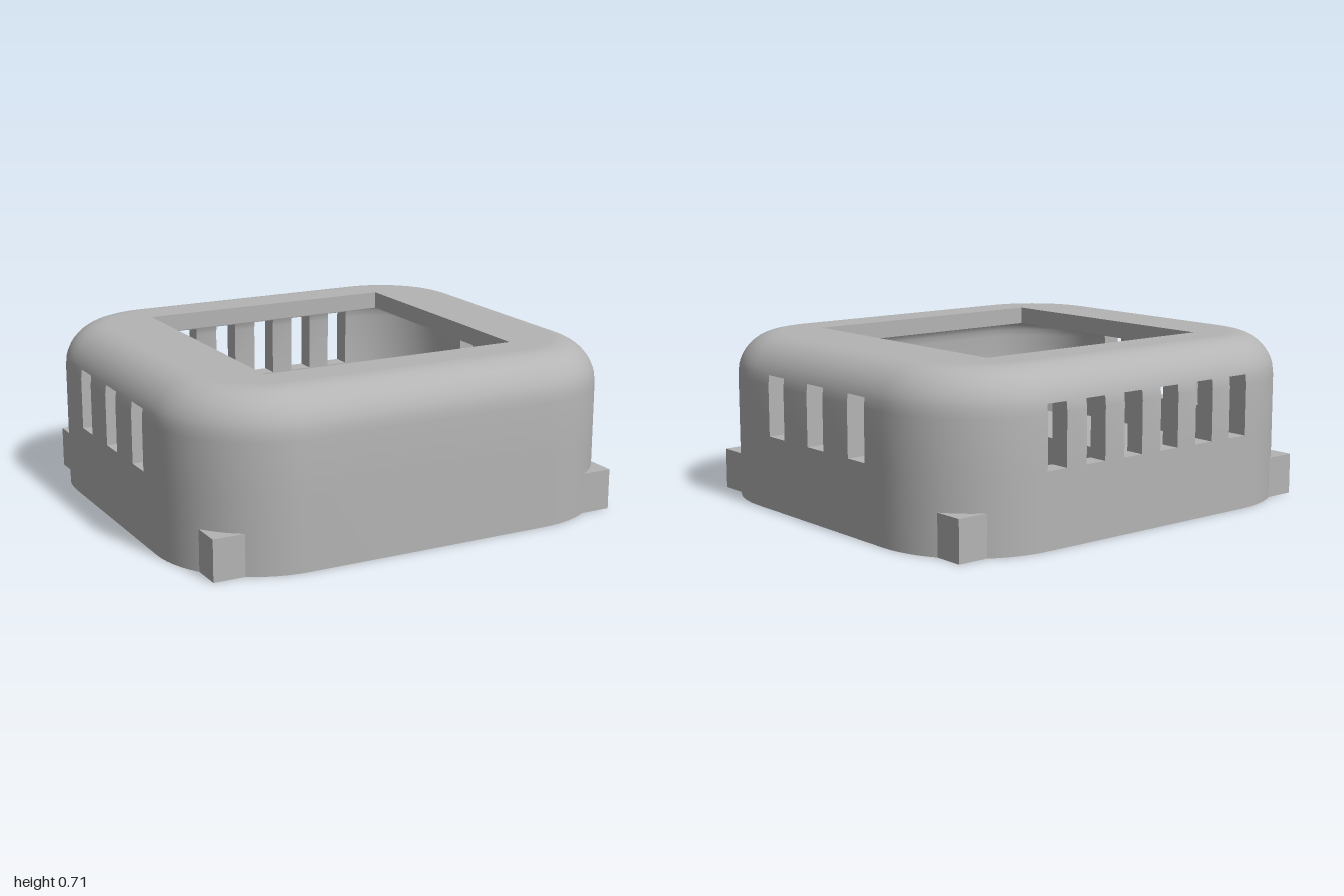
import * as THREE from 'three';
import { toCreasedNormals } from 'three/addons/utils/BufferGeometryUtils.js';

const R = 0.45, CORE_X = 0.55, CORE_Z = 0.46;   // rounded plan: core rectangle plus corner radius
const WALL = 0.085, FLOOR = 0.16, TOP = 0.715;
const SLOT_LOW = 0.315, SLOT_HIGH = 0.575;

// Vent slots on each side (+x, front, -x, back): centres and half width
const SLOTS = [
  { at: [-0.2875, 0, 0.2875], half: 0.0575 },
  { at: [], half: 0 },
  { at: [-0.2875, 0, 0.2875], half: 0.0575 },
  { at: [-0.5, -0.3, -0.1, 0.1, 0.3, 0.5], half: 0.049 },
];

// Columns round the plan: core point, outward normal, and whether a slot starts here
function planColumns(steps = 16) {
  const cols = [];
  for (let k = 0; k < 4; k++) {
    const a = k * Math.PI / 2, nx = Math.cos(a), nz = Math.sin(a);
    const out = k % 2 ? CORE_Z : CORE_X, half = k % 2 ? CORE_X : CORE_Z;
    const add = (u, slot, ang = a) => cols.push({
      x: nx * out - nz * u, z: nz * out + nx * u,
      nx: Math.cos(ang), nz: Math.sin(ang), slot,
    });
    add(-half, false);
    for (const c of SLOTS[k].at) {
      add(c - SLOTS[k].half, true);
      add(c + SLOTS[k].half, false);
    }
    for (let j = 0; j < steps; j++) add(half, false, a + j / steps * Math.PI / 2);
  }
  return cols;
}

// Upright wall profile ending in a quarter-round, with levels at the slot's sill and head
function wallProfile(inset, y0, r, steps = 10) {
  const start = Math.asin((SLOT_HIGH - y0) / r);
  const pts = [[inset, 0], [inset, SLOT_LOW], [inset, y0]];
  for (let j = 0; j <= steps; j++) {
    const a = start + (Math.PI / 2 - start) * j / steps;
    pts.push([inset + r * (1 - Math.cos(a)), y0 + r * Math.sin(a)]);
  }
  return pts;
}

// Hollow wall with rounded shoulder and cut-through slots
function shellGeometry(cols) {
  const outer = wallProfile(0, 0.535, 0.18), inner = wallProfile(WALL, 0.545, 0.095);
  const pos = [];
  const point = (c, [inset, y]) => [c.x + c.nx * (R - inset), y, c.z + c.nz * (R - inset)];
  const quad = (a, b, c, d) => pos.push(...a, ...b, ...c, ...a, ...c, ...d);
  cols.forEach((c, i) => {
    const next = cols[(i + 1) % cols.length];
    const O = outer.map(p => point(c, p)), P = outer.map(p => point(next, p));
    const I = inner.map(p => point(c, p)), J = inner.map(p => point(next, p));
    for (let j = 0; j < outer.length - 1; j++) {
      if (c.slot && (j === 1 || j === 2)) {       // slot cheeks
        quad(I[j], O[j], O[j + 1], I[j + 1]);
        quad(P[j], J[j], J[j + 1], P[j + 1]);
      } else {
        quad(O[j], O[j + 1], P[j + 1], P[j]);
        quad(I[j], J[j], J[j + 1], I[j + 1]);
      }
    }
    quad(O[0], P[0], J[0], I[0]);                 // bottom edge
    if (c.slot) {
      quad(O[1], I[1], J[1], P[1]);               // sill
      quad(O[3], P[3], J[3], I[3]);               // head
    }
  });
  const geo = new THREE.BufferGeometry();
  geo.setAttribute('position', new THREE.Float32BufferAttribute(pos, 3));
  return toCreasedNormals(geo, 0.5);
}

// Flat slab from a plan outline (x, z) with holes, between two heights
function slab(outline, holes, low, high) {
  const shape = new THREE.Shape(outline);
  shape.holes.push(...holes);
  const geo = new THREE.ExtrudeGeometry(shape, { depth: high - low, bevelEnabled: false, curveSegments: 24 });
  geo.rotateX(Math.PI / 2).translate(0, high, 0);
  return toCreasedNormals(geo, 0.5);
}

const squareHole = h => new THREE.Path(
  [[-h, -h], [-h, h], [h, h], [h, -h]].map(p => new THREE.Vector2(...p)));
const roundHole = (x, z, r) => new THREE.Path().absarc(x, z, r, 0, Math.PI * 2, true);

export function createModel() {
  const group = new THREE.Group();
  const grey = new THREE.MeshStandardMaterial({ color: 0xb4b4b4 });
  grey.name = 'casing grey';
  const add = (name, geo) => {
    const mesh = new THREE.Mesh(geo, grey);
    mesh.name = name;
    group.add(mesh);
  };

  const cols = planColumns();
  const outline = inset => cols.map(c =>
    new THREE.Vector2(c.x + c.nx * (R - inset), c.z + c.nz * (R - inset)));
  const corners = [[1, 1], [-1, 1], [-1, -1], [1, -1]];

  add('shellWall', shellGeometry(cols));

  // Top panel with the square window
  add('topPanel', slab(outline(0.18), [squareHole(0.575)], 0.64, TOP));

  // Floor in two layers, so the small holes stop halfway
  const through = () => [squareHole(0.4),
    ...corners.map(([sx, sz]) => roundHole(sx * 0.68, sz * 0.63, 0.047))];
  add('floorLower', slab(outline(WALL), through(), 0, FLOOR / 2));
  add('floorUpper', slab(outline(WALL),
    [...through(), roundHole(0, 0.45, 0.04), roundHole(-0.67, -0.47, 0.04)], FLOOR / 2, FLOOR));

  // Square foot tips at the four corners
  for (const [sx, sz] of corners) {
    const tip = [[0.925, 0.84], [0.925, 0.69], [0.77, 0.84]]
      .map(([x, z]) => new THREE.Vector2(x * sx, z * sz));
    add('cornerFoot', slab(tip, [], 0, 0.175));
  }
  return group;
}
